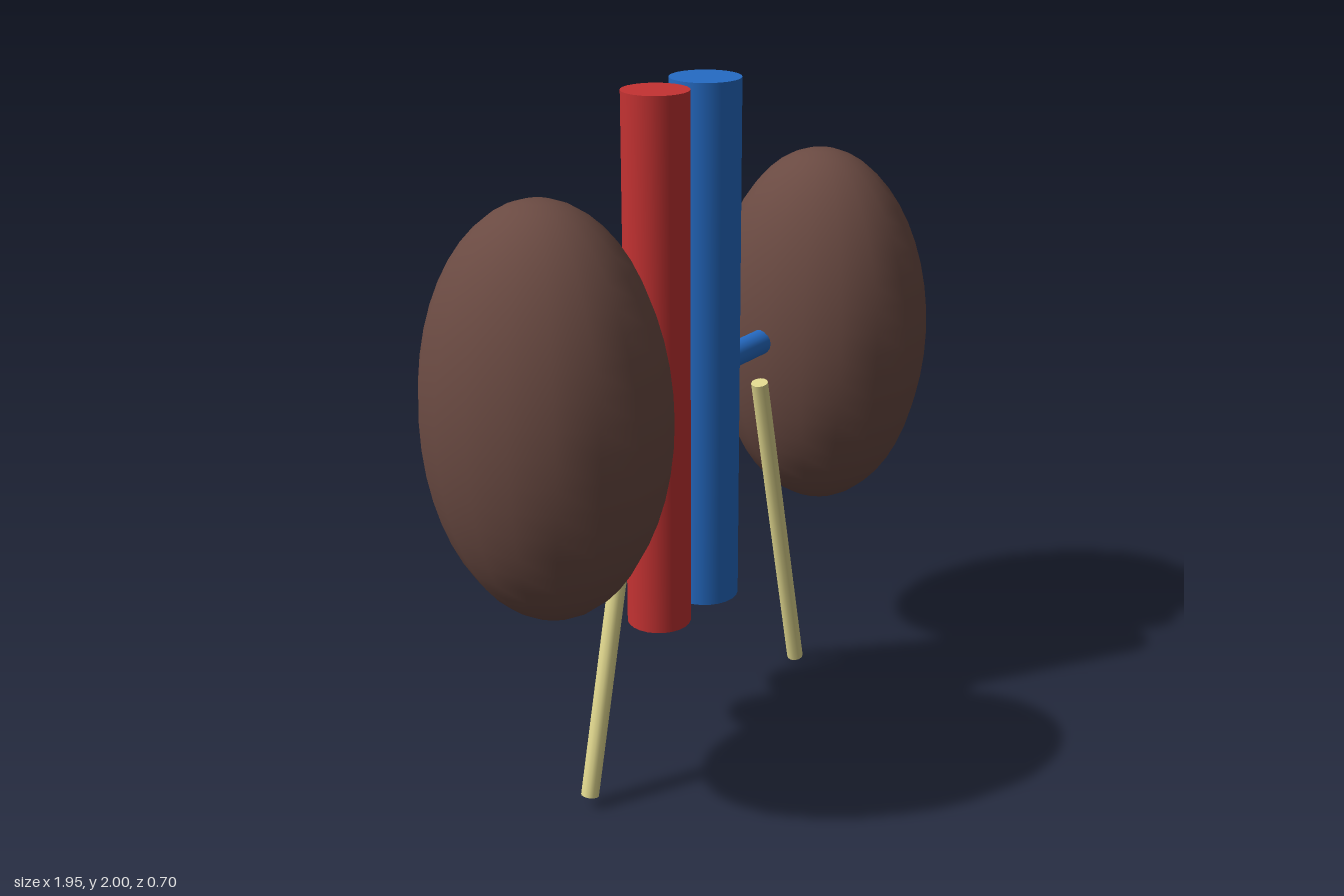
import * as THREE from 'three';

const mat = (name, color) => {
  const m = new THREE.MeshStandardMaterial({ color });
  m.name = name;
  return m;
};

export function createModel() {
  const model = new THREE.Group();
  const brown = mat('kidney brown', 0x6a4a42);
  const red = mat('artery red', 0xc43232);
  const blue = mat('vein blue', 0x256bc4);
  const cream = mat('ureter cream', 0xe0d78e);

  const add = (name, geometry, material) => {
    const mesh = new THREE.Mesh(geometry, material);
    mesh.name = name;
    model.add(mesh);
    return mesh;
  };

  // Capped straight tube between two points
  const tube = (name, a, b, radius, material, sides = 24) => {
    const start = new THREE.Vector3(...a);
    const end = new THREE.Vector3(...b);
    const dir = end.clone().sub(start);
    const mesh = add(name, new THREE.CylinderGeometry(radius, radius, dir.length(), sides), material);
    mesh.position.addVectors(start, end).multiplyScalar(0.5);
    mesh.quaternion.setFromUnitVectors(new THREE.Vector3(0, 1, 0), dir.normalize());
  };

  // Kidneys: stretched spheres, the right one sitting higher
  for (const [name, x, y] of [['rightKidney', -0.67, 1.245], ['leftKidney', 0.67, 1.13]]) {
    const kidney = add(name, new THREE.SphereGeometry(1, 18, 24), brown);
    kidney.scale.set(0.305, 0.575, 0.353);
    kidney.position.set(x, y, 0);
  }

  // Main vessels
  tube('mainArtery', [-0.11, 0.4, -0.055], [-0.11, 2, -0.055], 0.096, red);
  tube('mainVein', [0.125, 0.4, -0.055], [0.125, 2, -0.055], 0.104, blue);

  // Side branches running into the kidneys
  tube('arteryBranch', [-0.42, 1.29, -0.02], [-0.14, 1.29, -0.02], 0.034, red, 16);
  tube('veinBranch', [0.17, 1.155, -0.02], [0.42, 1.155, -0.02], 0.038, blue, 16);

  // Ureters, splayed outwards towards the bottom
  tube('rightUreter', [-0.55, 0.037, 0.02], [-0.31, 1.08, 0.02], 0.026, cream, 12);
  tube('leftUreter', [0.545, 0.007, 0.02], [0.307, 1.05, 0.02], 0.026, cream, 12);

  return model;
}
